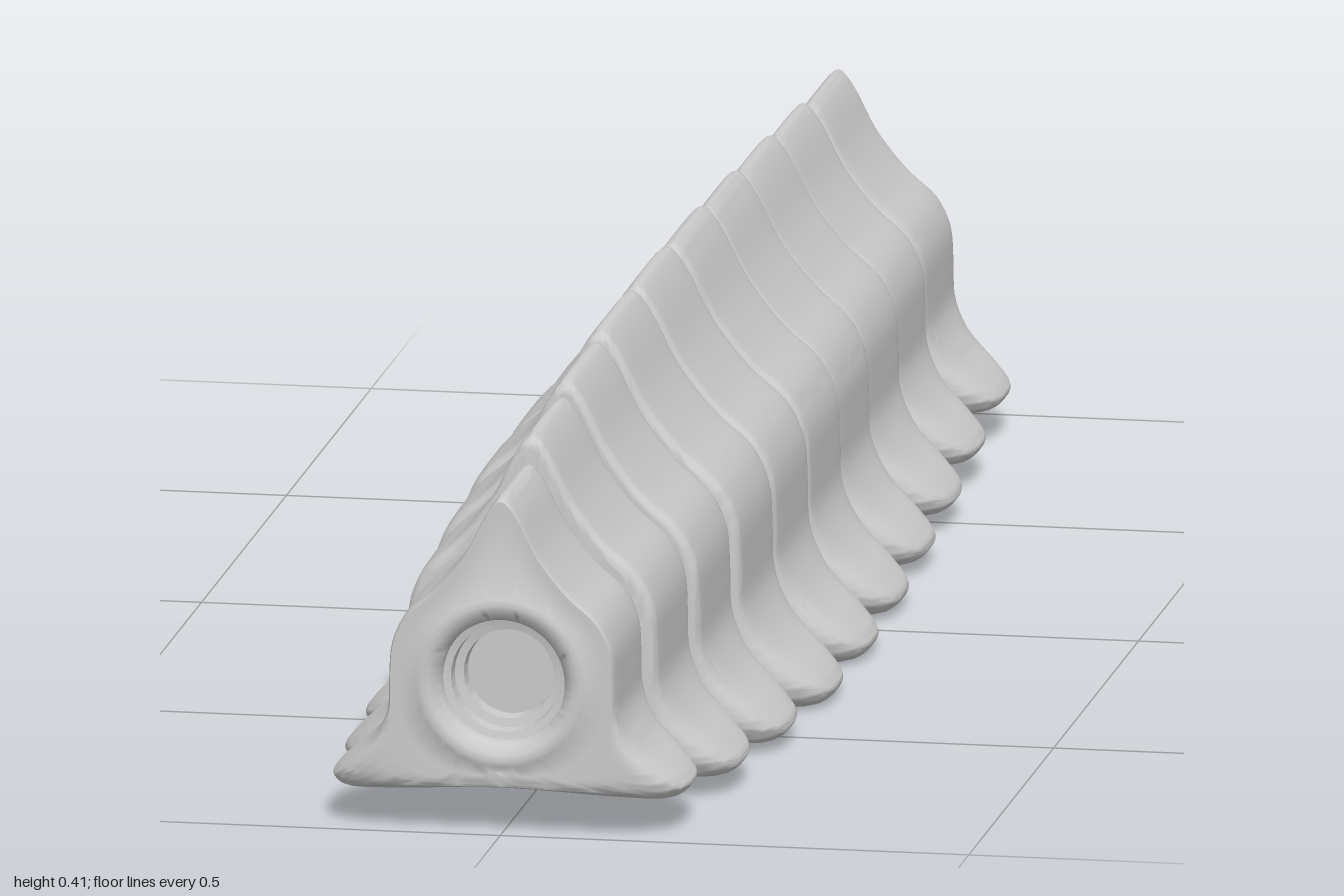
import * as THREE from 'three';
import { toCreasedNormals } from 'three/addons/utils/BufferGeometryUtils.js';

const material = new THREE.MeshStandardMaterial({ color: 0xcccccc });
const HUB_Y = 0.162; // height of the axis within a full-size segment

// Right halves of the cross-sections, from ridge to belly; points correspond one to one.
const FOOTED = [[0, 0.413], [0.018, 0.395], [0.05, 0.335], [0.09, 0.285], [0.13, 0.25], [0.148, 0.212],
  [0.152, 0.16], [0.156, 0.115], [0.182, 0.072], [0.222, 0.037], [0.238, 0.017], [0.226, 0.004],
  [0.18, 0.003], [0.09, 0.009], [0, 0.013]];
const BODY = [[0, 0.408], [0.018, 0.39], [0.05, 0.33], [0.088, 0.282], [0.126, 0.246], [0.144, 0.21],
  [0.148, 0.165], [0.146, 0.13], [0.138, 0.1], [0.125, 0.077], [0.11, 0.06], [0.093, 0.047],
  [0.07, 0.037], [0.037, 0.031], [0, 0.03]];

// Mirrored, smoothed closed outline
function outline(half) {
  const mirrored = half.slice(1, -1).reverse().map(([x, y]) => [-x, y]);
  const points = [...half, ...mirrored].map(([x, y]) => new THREE.Vector3(x, y, 0));
  return new THREE.CatmullRomCurve3(points, true).getPoints(points.length * 4).slice(0, -1);
}
const footed = outline(FOOTED);
const body = outline(BODY);

// Skin a stack of equal-length rings, ordered from back to front
function skin(rings) {
  const n = rings[0].length;
  const index = [];
  for (let k = 0; k < rings.length - 1; k++) {
    for (let i = 0; i < n; i++) {
      const a = k * n + i, b = k * n + (i + 1) % n;
      index.push(a, a + n, b + n, a, b + n, b);
    }
  }
  const geometry = new THREE.BufferGeometry().setFromPoints(rings.flat());
  geometry.setIndex(index);
  return toCreasedNormals(geometry, 0.8);
}

function makeSegment({ back, front, top, bottom, scale, socket }) {
  const place = (x, y, z) =>
    new THREE.Vector3(x * scale, bottom + (y - 0.003) / 0.41 * (top - bottom), z);
  const mid = (back + front) / 2, halfLength = (front - back) / 2;
  const faceInset = socket ? 0.004 : 0;

  // Body section shrunk about the axis
  const shrunk = (s, z) => body.map(p => place(p.x * s, HUB_Y + (p.y - HUB_Y) * s, z));
  // Round ring about the axis
  const hub = place(0, HUB_Y, 0);
  const circle = (r, z) => body.map(p => {
    const a = Math.atan2(p.y - HUB_Y, p.x);
    return new THREE.Vector3(r * Math.cos(a), hub.y + r * Math.sin(a), z);
  });

  const rings = [circle(0, back), shrunk(0.6, back), shrunk(0.93, back)];

  // Feet swell out of the body toward the middle of the segment
  const steps = 24;
  for (let k = 0; k <= steps; k++) {
    const u = Math.sin((k / steps - 0.5) * Math.PI);
    const w = Math.min(1, Math.abs(u));
    const swell = Math.pow(1 - Math.pow(w, 3), 0.4);
    const s = 1 - 0.045 * (1 - Math.sqrt(1 - Math.pow(w, 24)));
    const z = Math.min(mid + u * halfLength, front - faceInset);
    rings.push(body.map((p, i) => {
      const q = p.clone().lerp(footed[i], swell);
      return place(q.x * s, HUB_Y + (q.y - HUB_Y) * s, z);
    }));
  }

  if (socket) {
    // Raised rim and stepped round recess
    const profile = [[0.096, -0.005], [0.09, -0.001], [0.084, 0], [0.077, -0.001], [0.067, -0.01],
      [0.066, -0.028], [0.058, -0.03], [0.057, -0.048], [0.048, -0.05], [0.047, -0.07], [0, -0.07]];
    profile.forEach(([r, dz]) => rings.push(circle(r, front + dz)));
  } else {
    rings.push(shrunk(0.93, front), shrunk(0.6, front), circle(0, front));
  }
  return new THREE.Mesh(skin(rings), material);
}

export function createModel() {
  const group = new THREE.Group();
  group.name = 'segmentedBody';
  // Front z, back z, top, bottom and width scale of each segment
  const segments = [
    [1, 0.822, 0.365, 0.038, 0.8],
    [0.82, 0.622, 0.392, 0.02, 0.89],
    [0.62, 0.422, 0.405, 0.01, 0.95],
    [0.42, 0.213, 0.413, 0.003, 1],
    [0.211, 0.006, 0.413, 0.003, 1],
    [0.004, -0.2, 0.409, 0.006, 0.98],
    [-0.202, -0.4, 0.401, 0.012, 0.945],
    [-0.402, -0.603, 0.392, 0.019, 0.91],
    [-0.606, -0.797, 0.382, 0.027, 0.865],
    [-0.815, -1, 0.371, 0.035, 0.82],
  ];
  segments.forEach(([front, back, top, bottom, scale], i) => {
    const mesh = makeSegment({ back, front, top, bottom, scale, socket: i === 0 });
    mesh.name = i === 0 ? 'frontSegmentWithSocket' : `segment${i + 1}`;
    group.add(mesh);
  });
  // Stand on the ground
  group.position.y = -new THREE.Box3().setFromObject(group).min.y;
  return group;
}
